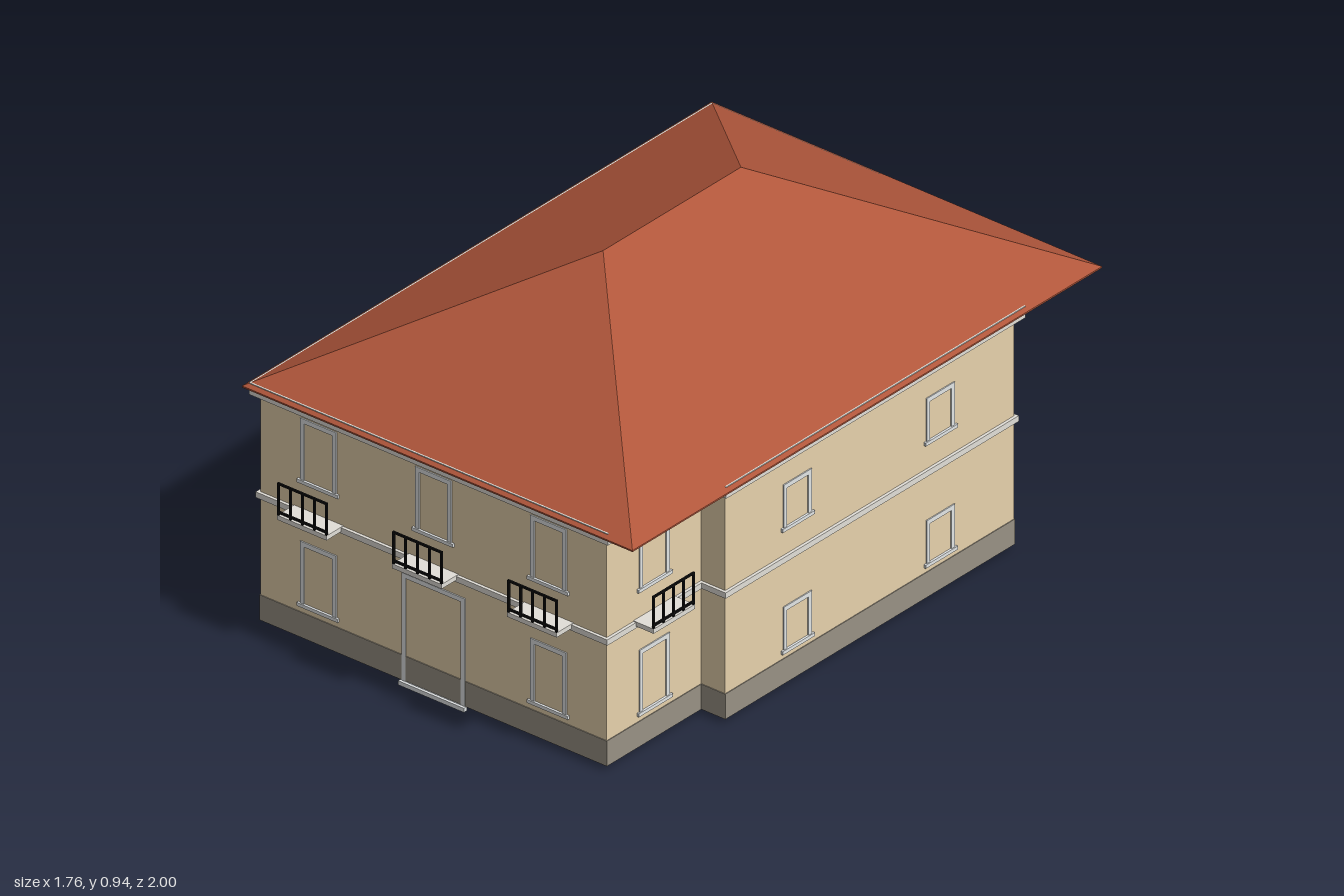
import * as THREE from 'three';

const mat = (name, color) => {
  const m = new THREE.MeshStandardMaterial({ color });
  m.name = name;
  return m;
};

// Stepped floor plan, [x, z], starting at the front left corner of the facade
const PLAN = [
  [-0.547, 0.801], [0.476, 0.801], [0.476, 0.467], [0.547, 0.467], [0.547, -0.555],
  [0.418, -0.555], [0.418, -0.671], [-0.086, -0.671], [-0.086, -0.798], [-0.547, -0.798],
];

// Plan moved outward by e, as 2D points for an upright extrusion
function outline(e) {
  const n = PLAN.length;
  const normal = (i) => {
    const a = PLAN[(i + n) % n], b = PLAN[(i + 1) % n];
    return [-Math.sign(b[1] - a[1]), Math.sign(b[0] - a[0])];
  };
  return PLAN.map(([x, z], i) => {
    const p = normal(i - 1), q = normal(i);
    return new THREE.Vector2(x + e * (p[0] + q[0]), -(z + e * (p[1] + q[1])));
  });
}

// Band following the plan between two offsets and two heights
function band(outer, inner, y0, y1) {
  const shape = new THREE.Shape(outline(outer));
  if (inner !== null) shape.holes.push(new THREE.Path(outline(inner)));
  const geo = new THREE.ExtrudeGeometry(shape, { depth: y1 - y0, bevelEnabled: false });
  return geo.rotateX(-Math.PI / 2).translate(0, y0, 0);
}

// Hipped roof slopes
function roofGeometry(w, d, ridge, y0, y1) {
  const A = [-w, y0, d], B = [w, y0, d], C = [w, y0, -d], D = [-w, y0, -d];
  const F = [0, y1, ridge], K = [0, y1, -ridge];
  const tris = [A, B, F, B, C, K, B, K, F, C, D, K, D, A, F, D, F, K];
  const geo = new THREE.BufferGeometry();
  geo.setAttribute('position', new THREE.Float32BufferAttribute(tris.flat(), 3));
  geo.computeVertexNormals();
  return geo;
}

// Flat rectangular frame with its lower edge at y0
function frameGeometry(w, y0, y1, t, sill) {
  const rect = (P, x, a, b) =>
    new P([[-x, a], [x, a], [x, b], [-x, b]].map((p) => new THREE.Vector2(...p)));
  const shape = rect(THREE.Shape, w / 2, y0, y1);
  shape.holes.push(rect(THREE.Path, w / 2 - t, y0 + sill, y1 - t));
  return new THREE.ExtrudeGeometry(shape, { depth: 0.003, bevelEnabled: false });
}

export function createModel() {
  const wall = mat('wall plaster', 0xe6d1ac);
  const plinthMat = mat('plinth stone', 0x999284);
  const trim = mat('pale trim', 0xe2dfd8);
  const frameMat = mat('window frame white', 0xe6e9ea);
  const roofMat = mat('roof tile', 0xb0563b);
  const glass = mat('window glass', 0x4c6178);
  const doorMat = mat('dark door', 0x1b1b1b);
  const iron = mat('black iron', 0x0c0c0c);

  const house = new THREE.Group();
  house.name = 'house';

  const add = (parent, name, geo, material) => {
    const m = new THREE.Mesh(geo, material);
    m.name = name;
    parent.add(m);
    return m;
  };
  const box = (parent, name, material, w, h, d, x, y, z) =>
    add(parent, name, new THREE.BoxGeometry(w, h, d), material).position.set(x, y, z);

  // Shell, open below
  add(house, 'walls', band(0, -0.002, 0.012, 0.624), wall);
  add(house, 'plinth', band(0.002, -0.001, 0.011, 0.077), plinthMat);
  add(house, 'stringCourse', band(0.008, -0.001, 0.333, 0.348), trim);
  add(house, 'cornice', band(0.019, -0.001, 0.605, 0.636), trim);
  add(house, 'ceiling', band(-0.001, null, 0.62, 0.623), plinthMat);

  // Roof
  add(house, 'roofSlopes', roofGeometry(0.577, 0.831, 0.244, 0.628, 0.936), roofMat);
  box(house, 'roofEave', roofMat, 1.154, 0.004, 1.662, 0, 0.626, 0);

  // Group whose +z points out of the wall
  const TURN = { front: 0, right: Math.PI / 2, back: Math.PI, left: -Math.PI / 2 };
  const onWall = (name, side, x, z) => {
    const g = new THREE.Group();
    g.name = name;
    g.position.set(x, 0, z);
    g.rotation.y = TURN[side];
    house.add(g);
    return g;
  };

  // Flat frame outside, pane on the inner face of the wall
  const opening = (g, w, y0, y1, pane, sill) => {
    const t = 0.012;
    add(g, 'frame', frameGeometry(w, y0, y1, t, sill), frameMat);
    box(g, 'pane', pane, w - t, y1 - y0 - t, 0.003, 0, (y0 + y1) / 2, -0.003);
  };
  const windowAt = (side, x, z, w, y0, y1) => {
    const g = onWall('window', side, x, z);
    opening(g, w, y0, y1, glass, 0.004);
    box(g, 'sill', frameMat, w + 0.014, 0.009, 0.006, 0, y0, 0.003);
  };

  // Slab with a railing along its outer edge
  const balconyAt = (side, x, z) => {
    const g = onWall('balcony', side, x, z);
    const w = 0.146, d = 0.06, t = 0.005, y0 = 0.35, y1 = 0.435;
    box(g, 'slab', trim, w, 0.012, d, 0, 0.344, d / 2);
    for (const y of [y0 + 0.008, y1 - t / 2])
      box(g, 'rail', iron, w, t, t, 0, y, d - t / 2);
    for (let i = 0; i < 5; i++)
      box(g, 'bar', iron, t, y1 - y0, t, (i / 4 - 0.5) * (w - t), (y0 + y1) / 2, d - t / 2);
  };

  // Bays with a tall window below and a balcony window above
  const bays = [
    ['front', -0.375, 0.801], ['front', -0.035, 0.801], ['front', 0.305, 0.801],
    ['right', 0.476, 0.634], ['back', 0.167, -0.671], ['back', -0.32, -0.798],
  ];
  bays.forEach(([side, x, z], i) => {
    if (i !== 1) windowAt(side, x, z, 0.107, 0.097, 0.264);
    windowAt(side, x, z, 0.107, 0.422, 0.588);
    balconyAt(side, x, z);
  });

  // Small windows along the long walls
  const small = [
    ...[0.213, -0.293].map((z) => ['right', 0.547, z]),
    ...[0.6, 0.2, -0.19, -0.6].map((z) => ['left', -0.547, z]),
  ];
  for (const [side, x, z] of small)
    for (const y of [0.096, 0.417]) windowAt(side, x, z, 0.1, y, y + 0.117);

  // Entrance
  const door = onWall('entrance', 'front', -0.035, 0.801);
  opening(door, 0.187, 0.004, 0.294, doorMat, 0.008);
  box(door, 'threshold', frameMat, 0.194, 0.011, 0.012, 0, 0.0055, 0.004);

  // The house stands turned on its plot
  house.rotation.y = -0.45;
  const model = new THREE.Group();
  model.name = 'villa';
  model.add(house);
  return model;
}
